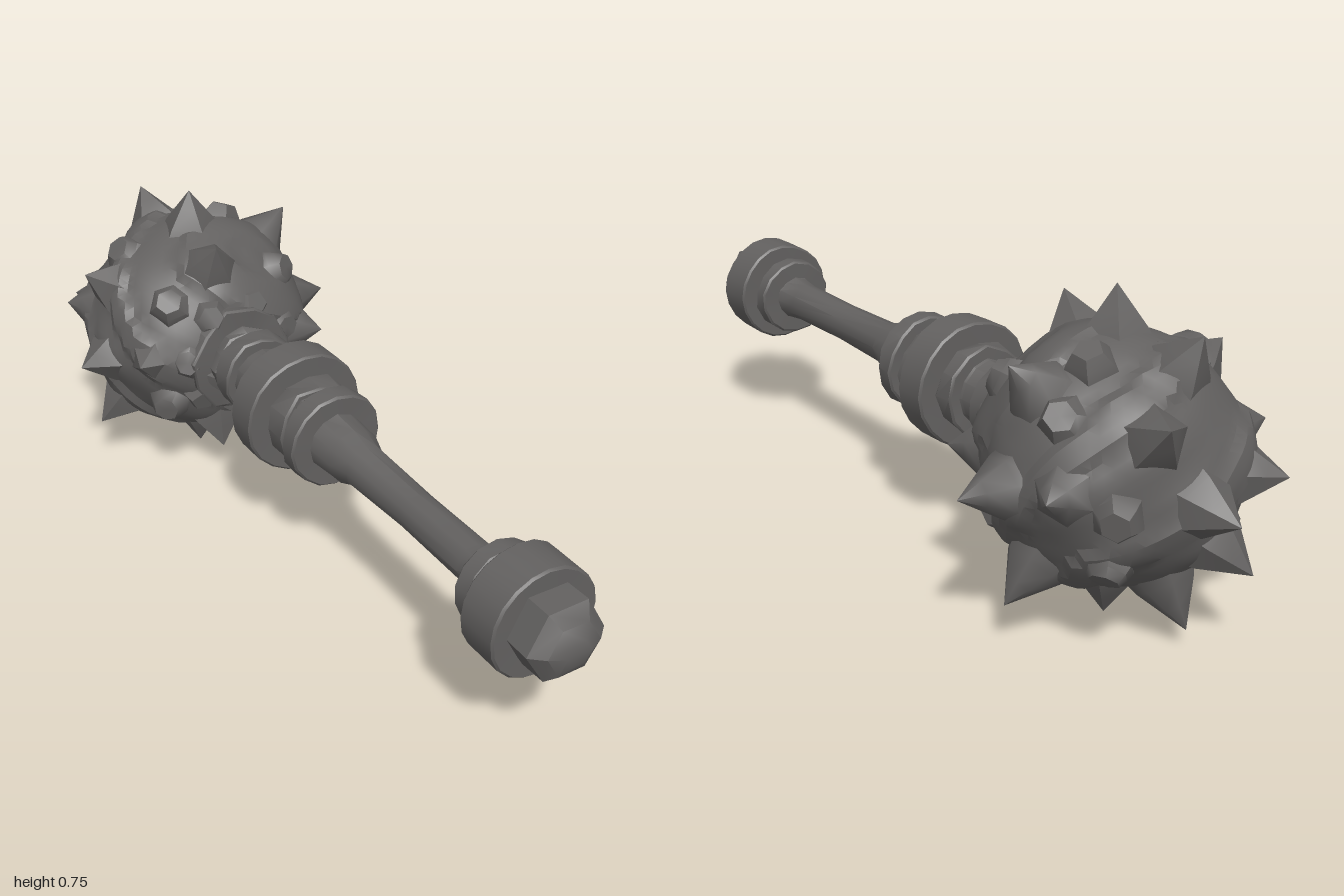
import * as THREE from 'three';
import { mergeVertices, toCreasedNormals } from 'three/addons/utils/BufferGeometryUtils.js';

const AXIS_X = -0.02, AXIS_Y = 0.385, HEAD_Z = -0.615;

// Long spike tips on the main axes and the diagonals, from the ball centre
const SPIKES = [
  [-0.005, 0.37, 0.015], [-0.005, -0.38, 0.015], [0.39, -0.01, 0.015], [-0.35, -0.035, 0.045], [0.01, -0.015, -0.385],
  [0.28, 0.255, 0], [-0.3, 0.2, 0], [-0.29, -0.24, 0], [0.28, -0.27, 0],
  [-0.04, 0.31, -0.205], [-0.04, 0.3, 0.225], [-0.04, -0.335, -0.205], [-0.04, -0.275, 0.225],
  [0.315, 0.03, -0.17], [0.255, 0, 0.24], [-0.26, 0.02, 0.215], [-0.215, 0, -0.295], [-0.3, 0.06, -0.14],
  [0.13, 0.185, -0.305], [-0.12, -0.19, -0.305],
];

// Broken studs between the spikes
const STUDS = [
  [-0.19, -0.13, 0.2], [0.18, -0.17, 0.19], [-0.16, 0.17, 0.19], [0.19, 0.17, 0.17],
  [0.13, 0.275, -0.06], [-0.19, 0.23, -0.04], [-0.13, -0.27, -0.06], [0.05, -0.28, 0.07],
  [0.23, 0.17, -0.1], [0.17, -0.17, -0.18], [-0.2, -0.16, -0.16], [0.2, -0.02, -0.24],
];

// Move every vertex by a rule on its position
function deform(geometry, rule) {
  const pos = geometry.attributes.position, v = new THREE.Vector3();
  for (let i = 0; i < pos.count; i++) {
    v.fromBufferAttribute(pos, i);
    rule(v);
    pos.setXYZ(i, v.x, v.y, v.z);
  }
  return geometry;
}

// Soft creases: joined corners, sharp edges kept
function crease(geometry, angle) {
  geometry.deleteAttribute('uv');
  geometry.deleteAttribute('normal');
  return toCreasedNormals(mergeVertices(geometry, 1e-4), angle);
}

export function createModel() {
  const iron = new THREE.MeshStandardMaterial({ color: 0x636160 });
  iron.name = 'dark iron';
  const model = new THREE.Group();
  model.name = 'spikedMace';
  model.position.set(AXIS_X, AXIS_Y, 0);

  // Turned part along z; points are [radius, z], z rising
  function turned(name, points, sides, dent = 0, turn = 0) {
    const profile = points.map(([r, z]) => new THREE.Vector2(r, z));
    const g = new THREE.LatheGeometry(profile, sides);
    g.rotateX(Math.PI / 2);
    g.rotateZ(turn);
    deform(g, (v) => {
      const a = Math.atan2(v.y, v.x), r = Math.hypot(v.x, v.y);
      const k = 1 + dent * Math.sin(3 * a + v.z * 45) + dent * Math.sin(5 * a - v.z * 70);
      v.x *= k;
      v.y *= k;
      if (r > 0.01) v.z += dent * 0.12 * Math.sin(4 * a + 2);
    });
    const mesh = new THREE.Mesh(crease(g, 0.65), iron);
    mesh.name = name;
    model.add(mesh);
  }

  // Collar: short closed ring with a small bevel
  function collar(name, r, z0, z1, sides, dent) {
    const b = 0.005;
    turned(name, [[0, z0], [r - b, z0], [r, z0 + b], [r, z1 - b], [r - b, z1], [0, z1]], sides, dent);
  }

  // Shaft and grip
  turned('shaft', [[0, -0.4], [0.085, -0.4], [0.085, -0.32], [0.078, -0.3], [0.078, -0.18],
    [0.098, -0.15], [0.098, 0.05], [0.075, 0.08], [0.068, 0.19], [0.053, 0.24],
    [0.047, 0.45], [0.049, 0.66], [0.056, 0.72], [0.075, 0.74], [0.075, 0.8], [0, 0.8]], 12, 0.02);

  // Collars along the handle
  collar('headCollar', 0.14, -0.42, -0.345, 11, 0.05);
  collar('neckFlange', 0.09, -0.35, -0.315, 12, 0.04);
  collar('neckCollar', 0.104, -0.3, -0.24, 14, 0.02);
  collar('guardCuffBack', 0.112, -0.175, -0.125, 12, 0.03);
  collar('guardRing', 0.155, -0.122, -0.03, 20, 0.006);
  collar('guardCuffFront', 0.11, -0.025, 0.04, 12, 0.03);
  collar('gripFlange', 0.12, 0.06, 0.115, 16, 0.012);
  collar('pommelFlange', 0.101, 0.72, 0.767, 14, 0.012);
  collar('pommelRing', 0.131, 0.785, 0.892, 20, 0.006);

  // Six-sided pommel with a rounded tip
  turned('pommel', [[0, 0.86], [0.096, 0.87], [0.096, 0.955], [0.065, 0.982], [0.03, 1.0], [0, 1.0]],
    6, 0.012, Math.PI / 6);

  // Head: hammered ball with winding ridges, swelling under each spike
  const head = new THREE.Group();
  head.name = 'head';
  head.position.z = HEAD_Z;
  model.add(head);
  const directions = SPIKES.map((tip) => new THREE.Vector3(...tip).normalize());
  const ballGeo = deform(new THREE.IcosahedronGeometry(0.274, 13), (v) => {
    const wave = Math.sin(v.x * 19 + 3 * Math.sin(v.y * 9)) * Math.sin(v.z * 17 + v.y * 11 + 1);
    const ridge = Math.sin(v.y * 22 + v.x * 12 + 4 * Math.sin(v.z * 7));
    const step = THREE.MathUtils.smoothstep(ridge, 0.35, 0.65);
    const nearest = Math.min(...directions.map((d) => d.angleTo(v)));
    const mound = Math.exp(-((nearest / 0.3) ** 2));
    v.multiplyScalar(1 + 0.02 * wave + 0.045 * step + 0.04 * mound);
  });
  const ball = new THREE.Mesh(crease(ballGeo, 0.4), iron);
  ball.name = 'ball';
  head.add(ball);

  // Spike rising from the ball to its tip
  let count = 0;
  function spike(tip, radius, blunt = 0) {
    const dir = new THREE.Vector3(...tip), length = dir.length(), base = 0.235;
    const h = length - base, n = count++;
    const g = new THREE.CylinderGeometry(radius * blunt, radius, h, 5 + (n % 3), 3);
    g.translate(0, base + h / 2, 0);
    deform(g, (v) => {
      const t = (v.y - base) / h;
      const swell = 1 + 0.6 * t * (1 - t);
      v.x *= swell;
      v.z *= swell;
      v.y += v.x * blunt * 0.7 * Math.sin(n * 2.1);
    });
    g.rotateY(n * 1.3);
    const mesh = new THREE.Mesh(crease(g, 0.85), iron);
    mesh.name = blunt ? 'stud' : 'spike';
    mesh.quaternion.setFromUnitVectors(new THREE.Vector3(0, 1, 0), dir.normalize());
    head.add(mesh);
  }
  for (const tip of SPIKES) spike(tip, 0.09);
  for (const tip of STUDS) spike(tip, 0.065, 0.5);

  // Jagged lumps where the head meets the neck
  for (let i = 0; i < 7; i++) {
    const a = i * 0.9 + 0.3;
    spike([0.15 * Math.cos(a), 0.15 * Math.sin(a), 0.255], 0.06, 0.5);
  }
  return model;
}
